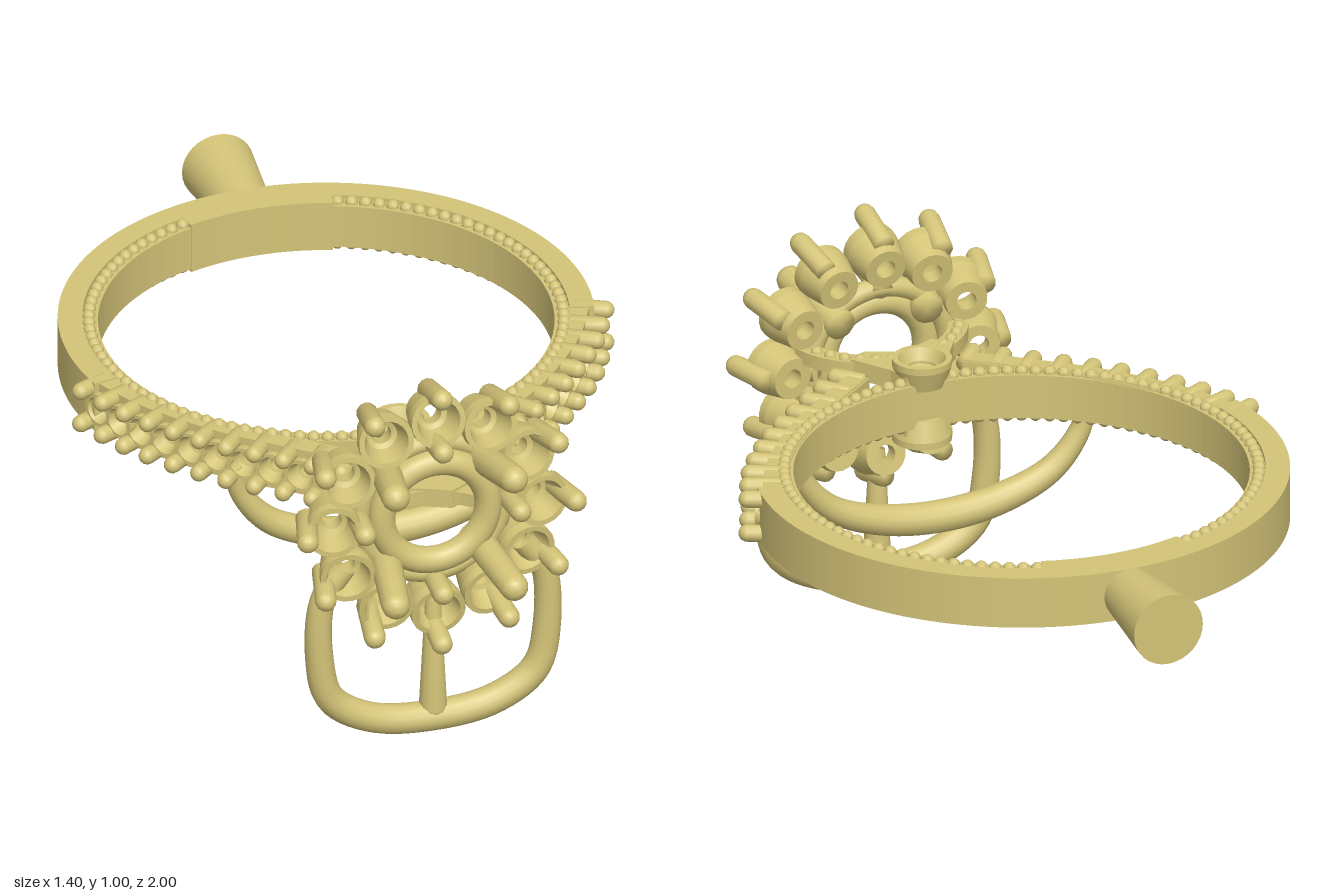
import * as THREE from 'three';
import { mergeGeometries } from 'three/addons/utils/BufferGeometryUtils.js';

const Y = 0.625, RZ = -0.1; // mid height of the band, centre of the finger hole
const gold = new THREE.MeshStandardMaterial({ color: 0xd4c478, side: THREE.DoubleSide });
const V = (x, y, z) => new THREE.Vector3(x, y, z);
const UP = V(0, 1, 0);

export function createModel() {
  const model = new THREE.Group();
  const add = (name, geos) => {
    const mesh = new THREE.Mesh(mergeGeometries([].concat(geos)), gold);
    mesh.name = name;
    model.add(mesh);
  };
  const place = (geo, pos, dir) => {
    geo.applyQuaternion(new THREE.Quaternion().setFromUnitVectors(UP, dir.clone().normalize()));
    return geo.translate(pos.x, pos.y, pos.z);
  };
  // Rod with a rounded tip at b
  const rod = (a, b, ra, rb = ra) => {
    const len = a.distanceTo(b), pts = [new THREE.Vector2(0.0001, 0), new THREE.Vector2(ra, 0)];
    for (let i = 0; i <= 5; i++) {
      const t = i / 5 * Math.PI / 2;
      pts.push(new THREE.Vector2(Math.max(rb * Math.cos(t), 0.0001), len - rb + rb * Math.sin(t)));
    }
    return place(new THREE.LatheGeometry(pts, 12), a, b.clone().sub(a));
  };
  // Stone cup: a bowl with a bored floor, each wall section with its own normals
  const cup = (pos, dir, r, len) => {
    const p = [[0.36, 0], [0.76, 0], [1, 0.75], [1, 1], [0.8, 1], [0.55, 0.45], [0.36, 0.4], [0.36, 0]];
    const parts = [];
    for (let i = 0; i < p.length - 1; i++) {
      parts.push(new THREE.LatheGeometry([p[i], p[i + 1]].map(q => new THREE.Vector2(q[0] * r, q[1] * len)), 20));
    }
    return place(mergeGeometries(parts), pos, dir);
  };
  const bead = (x, y, z, r) => new THREE.SphereGeometry(r, 8, 6).translate(x, y, z);
  // Horizontal plate; shape coordinates are (x, -z)
  const plate = (shape, y0, y1) => new THREE.ExtrudeGeometry(shape, { depth: y1 - y0, bevelEnabled: false, curveSegments: 64 })
    .rotateX(-Math.PI / 2).translate(0, y0, 0);
  const arcShape = (cz, r0, r1, a0, a1) => {
    const s = new THREE.Shape();
    s.absarc(0, -cz, r1, a0, a1, false);
    s.absarc(0, -cz, r0, a1, a0, true);
    return s;
  };
  // Tube whose radius follows a rule along its length
  const taperTube = (points, radius) => {
    const n = 64, m = 14, curve = new THREE.CatmullRomCurve3(points);
    const geo = new THREE.TubeGeometry(curve, n, 1, m), pos = geo.attributes.position, v = V(0, 0, 0);
    for (let i = 0; i <= n; i++) {
      const c = curve.getPointAt(i / n);
      for (let j = 0; j <= m; j++) {
        const k = i * (m + 1) + j;
        v.fromBufferAttribute(pos, k).sub(c).multiplyScalar(radius(i / n)).add(c);
        pos.setXYZ(k, v.x, v.y, v.z);
      }
    }
    return geo;
  };

  // Finger band: full inner ring, heavier outer wall and plain back
  const rad = Math.PI / 180;
  const inner = new THREE.Shape().absarc(0, -RZ, 0.607, 0, Math.PI * 2, false);
  inner.holes.push(new THREE.Path().absarc(0, -RZ, 0.565, 0, Math.PI * 2, true));
  add('innerBand', plate(inner, 0.566, 0.682));
  add('outerBand', plate(arcShape(RZ, 0.604, 0.665, -13 * rad, 193 * rad), 0.558, 0.692));
  add('plainBack', plate(arcShape(RZ, 0.563, 0.61, 71 * rad, 109 * rad), 0.558, 0.692));

  // Beaded edges on both sides of the band
  const beads = [];
  for (let i = 0; i <= 94; i++) {
    const a = (110 + 320 * i / 94) * rad;
    for (const s of [-1, 1]) beads.push(bead(0.588 * Math.cos(a), Y + s * 0.058, RZ - 0.588 * Math.sin(a), 0.017));
  }
  add('beadedEdges', beads);

  // Casting stem at the back
  add('stem', place(new THREE.CylinderGeometry(0.093, 0.066, 0.26, 32), V(0, Y, -0.87), V(0, 0, -1)));

  // Shoulders: two rails, a row of cups and pairs of prongs
  const tips = new THREE.CatmullRomCurve3([V(0.7, 0, 0.05), V(0.62, 0, 0.21), V(0.47, 0, 0.4), V(0.32, 0, 0.535), V(0.2, 0, 0.635)]);
  for (const side of [1, -1]) {
    const at = (u, depth, y) => {
      const t = tips.getTangentAt(u), n = V(t.z, 0, -t.x);
      const p = tips.getPointAt(u).addScaledVector(n, -depth);
      return { p: V(p.x * side, y, p.z), n: V(n.x * side, 0, n.z) };
    };
    const edge = d => Array.from({ length: 25 }, (_, i) => at(i / 24, d, 0).p).map(p => new THREE.Vector2(p.x, -p.z));
    const ribbon = new THREE.Shape([...edge(0.11), ...edge(0.06).reverse()]);
    const backing = new THREE.Shape([...edge(0.115), ...edge(0.1).reverse()]);
    const tag = side > 0 ? 'left' : 'right';
    add(tag + 'ShoulderRails', [plate(ribbon, 0.562, 0.59), plate(ribbon, 0.66, 0.688), plate(backing, 0.565, 0.685)]);
    const cups = [], prongs = [];
    for (let i = 0; i <= 10; i++) {
      for (const y of [0.579, 0.671]) prongs.push(rod(at(i / 10, 0.1, y).p, at(i / 10, 0, y).p, 0.022));
      if (i < 10) {
        const c = at((i + 0.5) / 10, 0.1, Y);
        cups.push(cup(c.p, c.n, 0.044, 0.06));
      }
    }
    add(tag + 'ShoulderCups', cups);
    add(tag + 'ShoulderProngs', prongs);
  }

  // Flower head: twelve outward-leaning cups with prongs
  const polar = (r, a, z) => V(r * Math.sin(a), Y + 0.005 + r * Math.cos(a), z);
  const petals = [], outerProngs = [], innerProngs = [];
  for (let i = 0; i < 12; i++) {
    const a = i * Math.PI / 6, foot = polar(0.252, a, 0.73), rim = polar(0.27, a, 0.83);
    petals.push(cup(foot, rim.clone().sub(foot), 0.07, 0.105));
    outerProngs.push(rod(polar(0.315, a, 0.74), polar(0.355, a, 0.885), 0.027));
    if (i % 3 === 0) innerProngs.push(rod(polar(0.19, a, 0.75), polar(0.204, a, 0.895), 0.027));
  }
  add('headCups', petals);
  add('headOuterProngs', outerProngs);
  add('headInnerProngs', innerProngs);

  // Centre seat and its four claws
  add('centreSeat', [
    new THREE.TorusGeometry(0.138, 0.034, 16, 48).translate(0, Y + 0.005, 0.8),
    new THREE.TorusGeometry(0.185, 0.026, 12, 48).translate(0, Y + 0.005, 0.775)
  ]);
  add('centreClaws', [1, 3, 5, 7].map(k => rod(polar(0.165, k * Math.PI / 4, 0.74), polar(0.225, k * Math.PI / 4, 1), 0.04, 0.036)));

  // Gallery under the head: paired beaded arches with a collar joined to the band
  const gallery = [], galleryBeads = [], collars = [];
  const fork = new THREE.Shape([[-0.06, -0.47], [0.06, -0.47], [0.075, -0.53], [0.14, -0.63], [0.09, -0.66], [0, -0.62], [-0.09, -0.66], [-0.14, -0.63], [-0.075, -0.53]]
    .map(p => new THREE.Vector2(p[0], p[1])));
  fork.holes.push(new THREE.Path().absarc(0, -0.51, 0.042, 0, Math.PI * 2, true));
  for (const s of [-1, 1]) {
    const y = Y + s * 0.055;
    gallery.push(plate(arcShape(0.82, 0.19, 0.24, 0.25, Math.PI - 0.25), y - 0.018, y + 0.018));
    gallery.push(plate(fork, y - 0.025, y + 0.025));
    collars.push(cup(V(0, Y + s * 0.04, 0.51), V(0, s, 0), 0.075, 0.07));
    for (let i = 0; i <= 14; i++) {
      const a = 0.3 + (Math.PI - 0.6) * i / 14;
      galleryBeads.push(bead(0.217 * Math.cos(a), y + s * 0.016, 0.82 - 0.217 * Math.sin(a), 0.016));
    }
  }
  add('gallery', gallery);
  add('galleryBeads', galleryBeads);
  add('galleryCollars', collars);

  // Hanging loop below the head with its centre bar
  const half = [[0.23, 0.5], [0.285, 0.42], [0.295, 0.25], [0.265, 0.13], [0.16, 0.06]];
  const mirrorPath = (pts, bottom, z) => [
    ...pts.map(p => V(-p[0], p[1], z)), V(0, bottom, z), ...pts.slice().reverse().map(p => V(p[0], p[1], z))
  ];
  add('frontLoop', taperTube(mirrorPath(half, 0.039, 0.785), u => 0.03 + 0.009 * Math.sin(Math.PI * u)));
  add('frontLoopBar', rod(V(0, 0.37, 0.785), V(0, 0.03, 0.785), 0.02, 0.036));

  // Second loop under the band
  add('rearLoop', taperTube(mirrorPath([[0.395, 0.6], [0.375, 0.52], [0.3, 0.43], [0.17, 0.375]], 0.354, 0.39),
    u => 0.022 + 0.02 * Math.sin(Math.PI * u)));
  return model;
}
